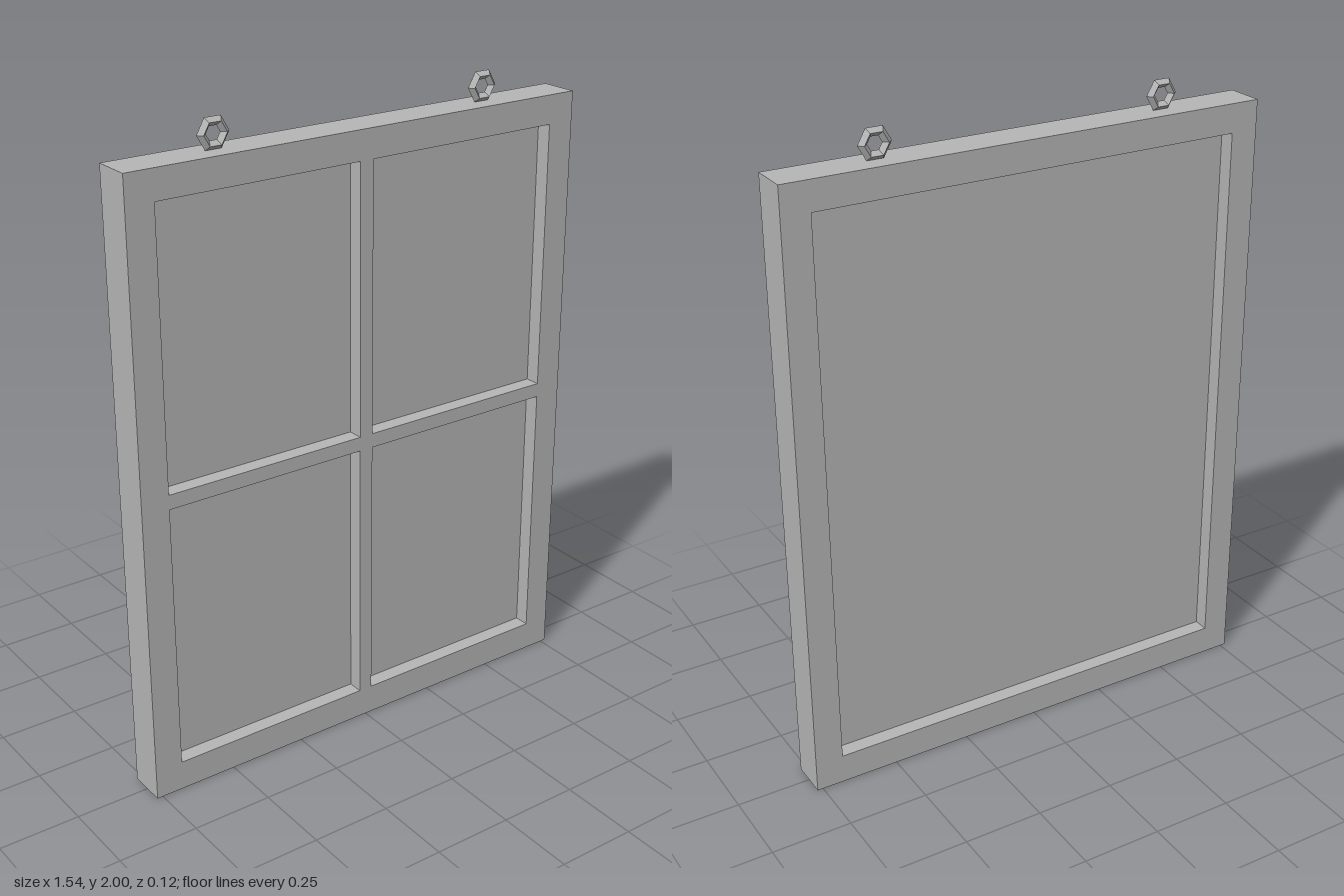
import * as THREE from 'three';

export function createModel() {
  const model = new THREE.Group();
  model.name = 'hangingWindowFrame';
  const grey = new THREE.MeshStandardMaterial({ color: 0xb6b6b6 });
  grey.name = 'grey';

  const W = 0.768, H = 1.91, D = 0.061;      // outer half width, height, half depth
  const w = 0.68, y0 = 0.093, y1 = 1.82;     // opening
  const panelZ = 0.012, bar = 0.0225;        // half thickness of panel, half width of bars
  const midY = (y0 + y1) / 2;

  const add = (name, geometry, x = 0, y = 0, z = 0) => {
    const mesh = new THREE.Mesh(geometry, grey);
    mesh.name = name;
    mesh.position.set(x, y, z);
    model.add(mesh);
    return mesh;
  };

  // Outer frame: rectangle with one large opening
  const outline = new THREE.Shape([
    new THREE.Vector2(-W, 0), new THREE.Vector2(W, 0),
    new THREE.Vector2(W, H), new THREE.Vector2(-W, H),
  ]);
  outline.holes.push(new THREE.Path([
    new THREE.Vector2(-w, y0), new THREE.Vector2(-w, y1),
    new THREE.Vector2(w, y1), new THREE.Vector2(w, y0),
  ]));
  add('outerFrame', new THREE.ExtrudeGeometry(outline, { depth: 2 * D, bevelEnabled: false }), 0, 0, -D);

  // Recessed panel, plain at the back
  add('panel', new THREE.BoxGeometry(2 * w, y1 - y0, 2 * panelZ), 0, midY, 0);

  // Glazing bars on the front, flush with the frame
  const barDepth = D - panelZ, barZ = (D + panelZ) / 2;
  add('verticalBar', new THREE.BoxGeometry(2 * bar, y1 - y0, barDepth), 0, midY, barZ);
  for (const side of [-1, 1]) {
    const name = side > 0 ? 'left' : 'right';
    add(name + 'HorizontalBar', new THREE.BoxGeometry(w - bar, 2 * bar, barDepth), side * (w + bar) / 2, midY, barZ);

    // Six-sided hanging ring with a diamond section
    const ring = new THREE.TorusGeometry(0.037, 0.0145, 4, 6).toNonIndexed();
    ring.computeVertexNormals();
    add(name + 'HangingRing', ring, side * 0.461, 1.955, 0);
  }
  return model;
}
